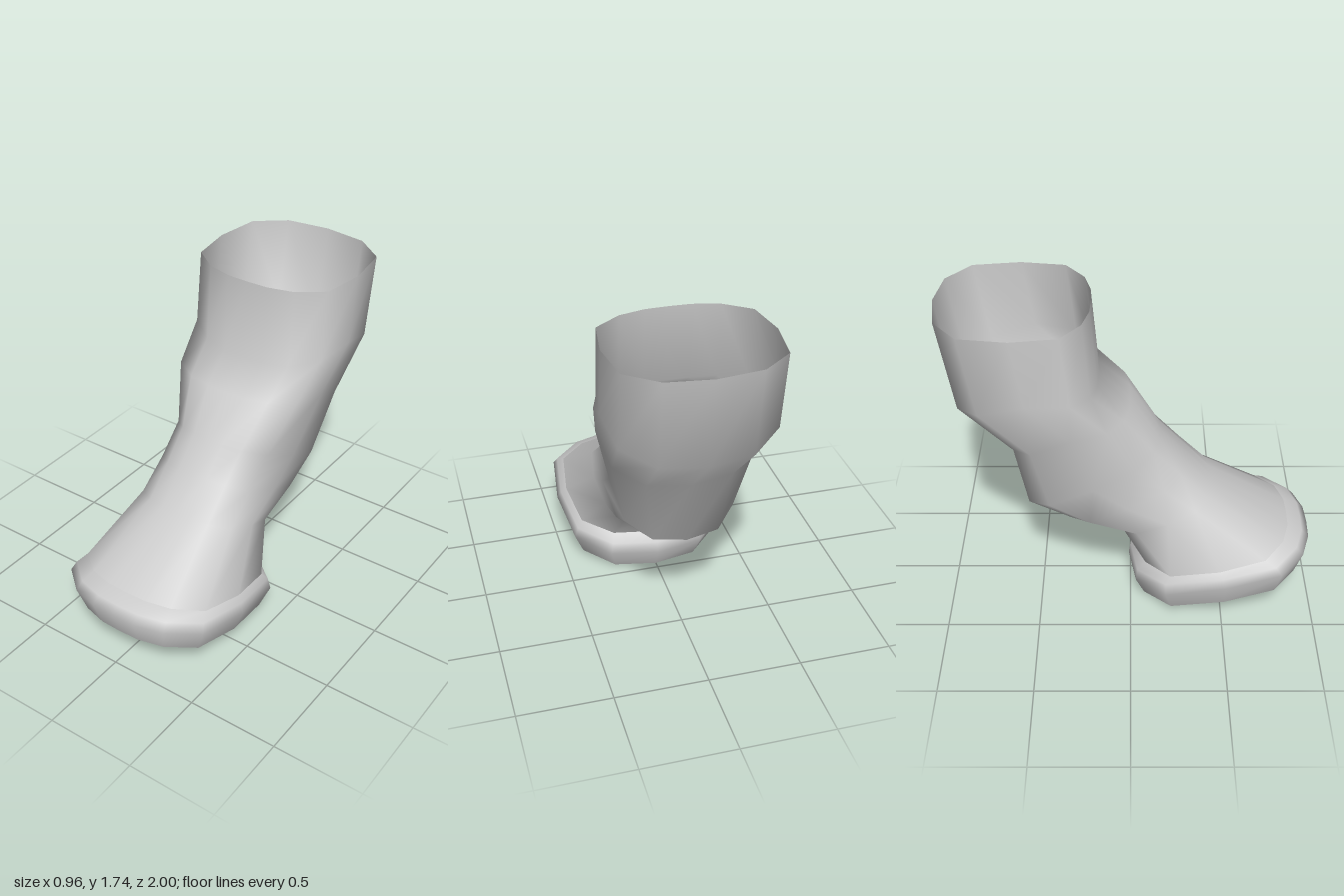
import * as THREE from 'three';

// Half outline of a ring, front to back: [share of half width, share of depth]
const HALF = [[0, 0], [0.28, 0.005], [0.6, 0.05], [0.92, 0.18], [1, 0.48], [0.92, 0.8], [0.55, 0.96], [0, 1]];
const OUTLINE = [...HALF, ...HALF.slice(1, -1).reverse().map(([x, t]) => [-x, t])];

// Each ring: front z, front y, back z, back y, half width, lift of the sides
const LEG = [
  [-0.2, 1.74, -1, 1.74, 0.435, 0],
  [-0.165, 1.31, -0.915, 1.23, 0.435, 0.1],
  [0, 1.17, -0.64, 0.96, 0.41, 0.08],
  [0.16, 0.96, -0.58, 0.59, 0.32, 0],
  [0.3, 0.81, -0.35, 0.48, 0.315, 0],
  [0.45, 0.65, -0.07, 0.42, 0.32, 0.01],
  [0.88, 0.4, 0.05, 0.22, 0.43, 0],
];
const RIM = [
  [0.88, 0.4, 0.05, 0.22, 0.43, 0],
  [0.96, 0.37, 0, 0.175, 0.46, 0.01],
  [1, 0.33, -0.01, 0.11, 0.48, 0.015],
  [0.955, 0.19, 0.04, 0, 0.425, 0],
];

// Skin a stack of tilted rings, top to bottom
function loft(name, rings, material) {
  const n = OUTLINE.length, positions = [], index = [];
  rings.forEach(([fz, fy, bz, by, w, lift], i) => {
    OUTLINE.forEach(([x, t], j) => {
      positions.push(x * w, fy + (by - fy) * t + lift * Math.sin(Math.PI * t), fz + (bz - fz) * t);
      if (i === rings.length - 1) return;
      const a = i * n + j, b = i * n + (j + 1) % n;
      index.push(a, a + n, b, b, a + n, b + n);
    });
  });
  const geometry = new THREE.BufferGeometry();
  geometry.setAttribute('position', new THREE.Float32BufferAttribute(positions, 3));
  geometry.setIndex(index);
  geometry.computeVertexNormals();
  const mesh = new THREE.Mesh(geometry, material);
  mesh.name = name;
  return mesh;
}

export function createModel() {
  const group = new THREE.Group();
  group.name = 'hollowLeg';
  const material = new THREE.MeshStandardMaterial({ color: 0xcccccc, side: THREE.DoubleSide });
  // Open sleeve with the bent joint, then the flared rim around the lower opening
  group.add(loft('legSleeve', LEG, material), loft('lowerRim', RIM, material));
  return group;
}
